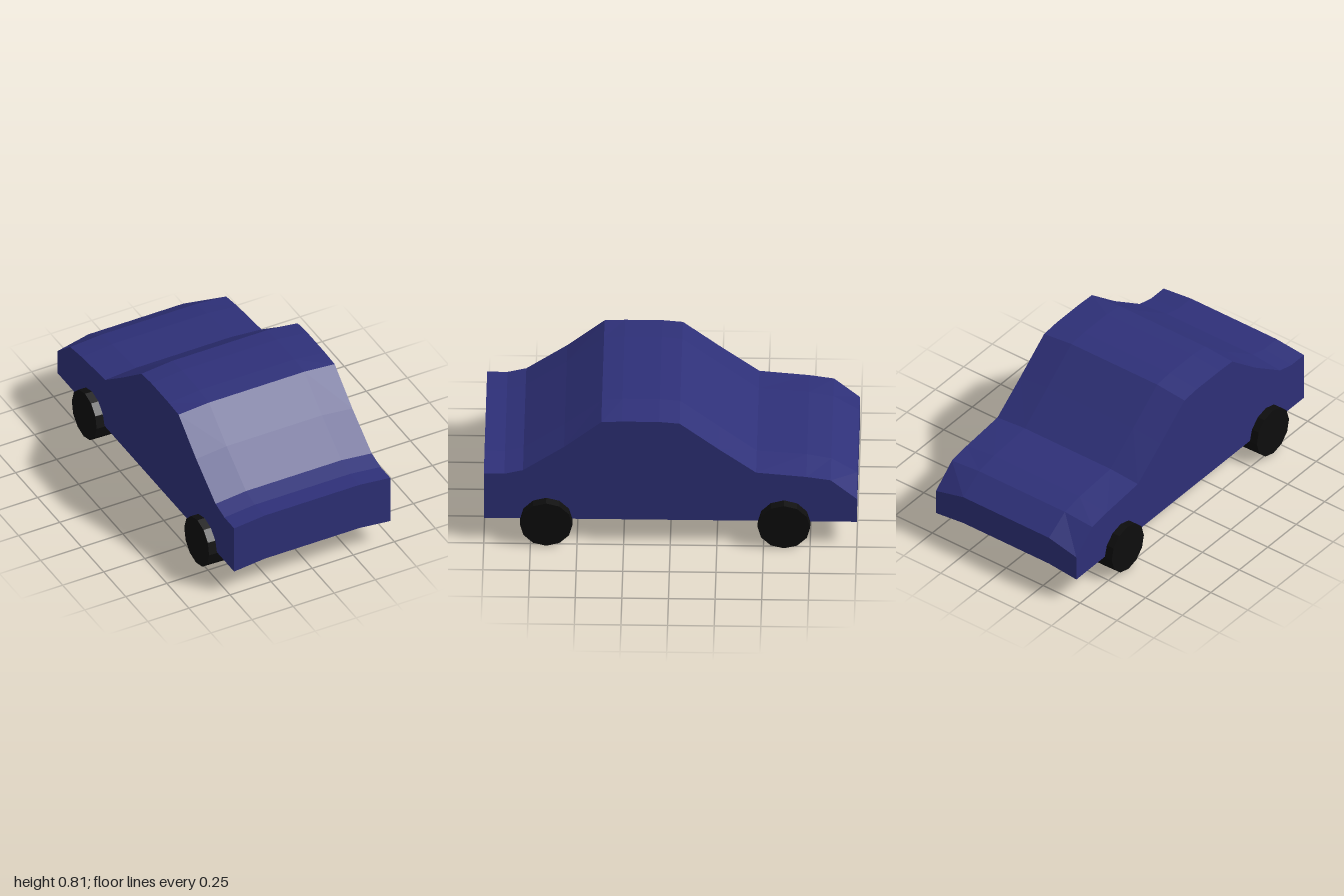
import * as THREE from 'three';

const paint = new THREE.MeshStandardMaterial({ color: 0x2e3078, flatShading: true });
const rubber = new THREE.MeshStandardMaterial({ color: 0x0d0d0d, flatShading: true });

// Roofline stations from front to back: z, height at the middle, height at the sides
const stations = [
  [1, 0.46, 0.44], [0.89, 0.46, 0.44], [0.79, 0.485, 0.465], [0.57, 0.64, 0.62],
  [0.37, 0.8, 0.785], [0.26, 0.81, 0.79], [0.06, 0.81, 0.79], [-0.05, 0.8, 0.78],
  [-0.26, 0.635, 0.615], [-0.46, 0.48, 0.465], [-0.73, 0.46, 0.44], [-0.86, 0.435, 0.42],
  [-1, 0.345, 0.3],
];
const EDGE = 0.475, CREASE = 0.29;

// Cross-section, anticlockwise seen from the front
function section([z, mid, side]) {
  return [
    [-EDGE, 0.15, z], [-CREASE, 0.17, z], [CREASE, 0.17, z], [EDGE, 0.15, z],
    [EDGE, side, z], [CREASE, mid, z], [-CREASE, mid, z], [-EDGE, side, z],
  ];
}

function bodyGeometry() {
  const rings = stations.map(section);
  const positions = [];
  const quad = (a, b, c, d) => positions.push(...a, ...b, ...c, ...a, ...c, ...d);

  // Skin between neighbouring sections
  for (let i = 0; i < rings.length - 1; i++) {
    const p = rings[i], q = rings[i + 1];
    for (let j = 0; j < 8; j++) {
      const k = (j + 1) % 8;
      quad(p[j], q[j], q[k], p[k]);
    }
  }
  // Nose and tail panels, each in three strips
  const f = rings[0], r = rings[rings.length - 1];
  for (let j = 0; j < 3; j++) {
    quad(f[j], f[j + 1], f[6 - j], f[7 - j]);
    quad(r[j], r[7 - j], r[6 - j], r[j + 1]);
  }
  const geometry = new THREE.BufferGeometry();
  geometry.setAttribute('position', new THREE.Float32BufferAttribute(positions, 3));
  geometry.computeVertexNormals();
  return geometry;
}

export function createModel() {
  const car = new THREE.Group();
  car.name = 'car';

  const body = new THREE.Mesh(bodyGeometry(), paint);
  body.name = 'body';
  car.add(body);

  // Twelve-sided wheels, leaning very slightly
  const wheelGeometry = new THREE.CylinderGeometry(0.141, 0.141, 0.13, 12).rotateZ(Math.PI / 2);
  for (const [end, z] of [['front', 0.665], ['back', -0.61]]) {
    for (const [side, s] of [['Left', 1], ['Right', -1]]) {
      const wheel = new THREE.Mesh(wheelGeometry, rubber);
      wheel.name = `${end}${side}Wheel`;
      wheel.position.set(s * 0.458, 0.145, z);
      wheel.rotation.z = -0.03;
      car.add(wheel);
    }
  }
  return car;
}
